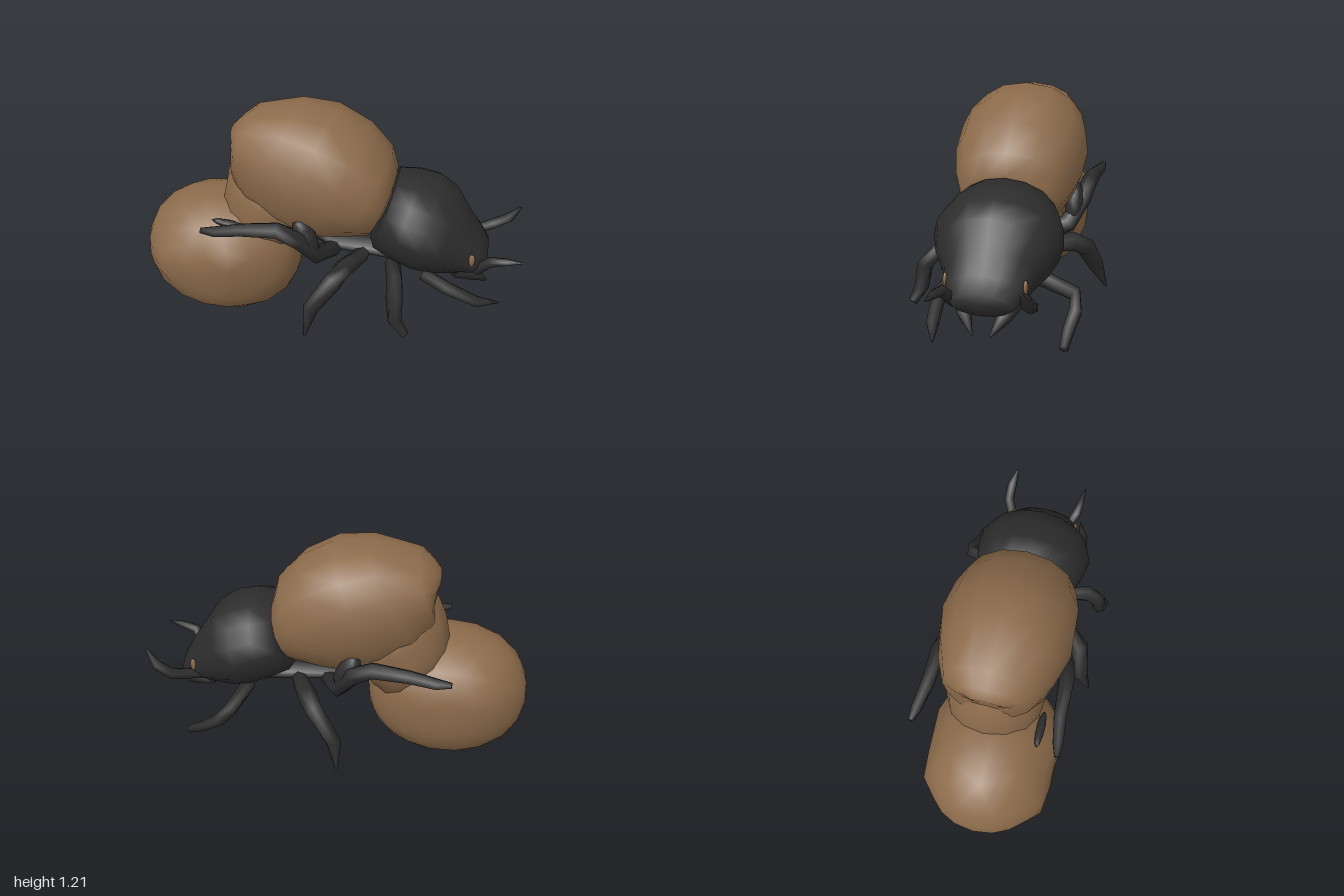
import * as THREE from 'three';
import { mergeVertices } from 'three/addons/utils/BufferGeometryUtils.js';

const V = (x, y, z) => new THREE.Vector3(x, y, z);

// Skin a list of rings { c, u, v } (centre and two half-axes) into a closed smooth tube;
// egg widens each ring towards +u and narrows it towards -u
function skin(rings, sides, egg = 0) {
  const pos = [], idx = [], n = rings.length;
  for (const { c, u, v } of rings) {
    for (let j = 0; j < sides; j++) {
      const a = (j / sides) * Math.PI * 2, cos = Math.cos(a);
      pos.push(...c.clone().addScaledVector(u, cos).addScaledVector(v, Math.sin(a) * (1 + egg * cos)).toArray());
    }
  }
  pos.push(...rings[0].c.toArray(), ...rings[n - 1].c.toArray());
  for (let j = 0; j < sides; j++) {
    const k = (j + 1) % sides, end = (n - 1) * sides;
    for (let i = 0; i < n - 1; i++) {
      const a = i * sides + j, b = i * sides + k;
      idx.push(a, b, b + sides, a, b + sides, a + sides);
    }
    idx.push(n * sides, k, j, n * sides + 1, end + j, end + k);
  }
  const g = new THREE.BufferGeometry();
  g.setAttribute('position', new THREE.Float32BufferAttribute(pos, 3));
  g.setIndex(idx);
  g.computeVertexNormals();
  return g;
}

// Body from slanted sections: [topX, topY, bottomX, bottomY, halfWidth]
const body = (sections, sides = 14, egg = 0) => skin(sections.map(([tx, ty, bx, by, w]) => ({
  c: V((tx + bx) / 2, (ty + by) / 2, 0),
  u: V((tx - bx) / 2, (ty - by) / 2, 0),
  v: V(0, 0, w),
})), sides, egg);

// Jointed limb through points [x, y, z, radius]
function limb(points, sides = 6) {
  const p = points.map(([x, y, z]) => V(x, y, z));
  return skin(points.map(([, , , r], i) => {
    const t = p[Math.min(i + 1, p.length - 1)].clone().sub(p[Math.max(i - 1, 0)]).normalize();
    const u = V(0, 0, 1).cross(t);
    if (u.length() < 0.2) u.set(0, 1, 0).cross(t);
    u.normalize();
    const v = t.clone().cross(u);
    return { c: p[i], u: u.multiplyScalar(r), v: v.multiplyScalar(r) };
  }), sides);
}

// Slightly squarish ball with raised lumps: [direction x, y, z, height]
function lumpyBall() {
  let g = new THREE.IcosahedronGeometry(1, 3);
  g.deleteAttribute('uv');
  g.deleteAttribute('normal');
  g = mergeVertices(g, 1e-3);
  const lumps = [[0.3, 0.35, 0.9, 0.19], [-0.5, 0.15, 0.85, 0.17], [-0.45, 0.4, -0.8, 0.12], [0.35, 0.45, -0.8, 0.12]]
    .map(([x, y, z, h]) => ({ dir: V(x, y, z).normalize(), h }));
  const p = g.attributes.position, d = V(0, 0, 0);
  for (let i = 0; i < p.count; i++) {
    d.fromBufferAttribute(p, i).normalize();
    let r = 1 + 0.07 * (1 - d.x ** 4 - d.y ** 4 - d.z ** 4);
    for (const { dir, h } of lumps) r += h * Math.max(0, 1 - d.distanceTo(dir) / 0.33);
    d.multiplyScalar(r);
    p.setXYZ(i, d.x * 0.425, d.y * 0.35, d.z * 0.335);
  }
  g.computeVertexNormals();
  return g;
}

export function createModel() {
  const group = new THREE.Group();
  const brown = new THREE.MeshStandardMaterial({ color: 0x8b6a4a });
  brown.name = 'earthBrown';
  const black = new THREE.MeshStandardMaterial({ color: 0x2c2c2c });
  black.name = 'shellBlack';
  const add = (name, geometry, material) => {
    const m = new THREE.Mesh(geometry, material);
    m.name = name;
    group.add(m);
    return m;
  };

  // Ball being rolled
  add('ball', lumpyBall(), brown).position.set(-0.575, 0.35, 0.045);

  // Wing case, broad on top and narrowing to the rear
  add('wingCase', body([
    [-0.5, 1.06, -0.49, 0.98, 0.07],
    [-0.46, 1.1, -0.48, 0.9, 0.15],
    [-0.38, 1.16, -0.5, 0.8, 0.22],
    [-0.15, 1.21, -0.46, 0.64, 0.285],
    [0.03, 1.19, -0.3, 0.53, 0.33],
    [0.2, 1.1, -0.13, 0.48, 0.32],
    [0.31, 0.98, 0.03, 0.5, 0.285],
    [0.34, 0.87, 0.2, 0.53, 0.24],
    [0.33, 0.8, 0.25, 0.6, 0.15],
  ], 16, 0.15), brown);

  // Tail end of the abdomen pressed on the ball
  add('abdomenTip', body([
    [0.05, 0.8, -0.46, 0.98, 0.17],
    [0.05, 0.66, -0.5, 0.91, 0.235],
    [0.0, 0.55, -0.54, 0.82, 0.26],
    [-0.12, 0.48, -0.565, 0.7, 0.25],
    [-0.2, 0.38, -0.57, 0.58, 0.23],
  ]), brown);

  // Thorax running into the head
  add('thoraxAndHead', body([
    [0.34, 0.83, 0.22, 0.51, 0.19],
    [0.35, 0.87, 0.24, 0.47, 0.25],
    [0.45, 0.87, 0.33, 0.43, 0.29],
    [0.56, 0.845, 0.44, 0.39, 0.31],
    [0.65, 0.79, 0.54, 0.365, 0.275],
    [0.72, 0.68, 0.63, 0.36, 0.215],
    [0.79, 0.58, 0.73, 0.38, 0.185],
    [0.83, 0.51, 0.82, 0.4, 0.14],
  ], 16), black);

  // Underside plate carrying the legs
  add('underplate', body([
    [-0.07, 0.53, -0.06, 0.46, 0.09],
    [0.05, 0.53, 0.05, 0.43, 0.14],
    [0.3, 0.54, 0.28, 0.42, 0.16],
    [0.55, 0.5, 0.55, 0.38, 0.14],
  ], 10), black);

  // Hind and middle legs, mirrored
  for (const s of [1, -1]) {
    const side = s > 0 ? 'Right' : 'Left';
    add('hindLeg' + side, limb([
      [0.05, 0.46, 0.12 * s, 0.04], [-0.02, 0.5, 0.25 * s, 0.05], [-0.1, 0.62, 0.315 * s, 0.048],
      [-0.2, 0.675, 0.335 * s, 0.044], [-0.38, 0.66, 0.345 * s, 0.036],
      [-0.51, 0.645, 0.365 * s, 0.03], [-0.58, 0.65, 0.375 * s, 0.015],
    ]), black);
    // Hip pad where the hind leg folds against the abdomen
    const hip = add('hindHip' + side, new THREE.SphereGeometry(1, 10, 6), black);
    hip.scale.set(0.06, 0.11, 0.05);
    hip.rotation.z = 0.4;
    hip.position.set(-0.07, 0.61, 0.275 * s);
    add('middleLeg' + side, limb([
      [0.2, 0.46, 0.14 * s, 0.04], [0.13, 0.47, 0.3 * s, 0.05], [0.09, 0.43, 0.36 * s, 0.05],
      [-0.02, 0.27, 0.41 * s, 0.04], [-0.04, 0.14, 0.465 * s, 0.006],
    ]), black);
    // Eye, a flat patch on the side of the head
    const eye = add('eye' + side, new THREE.SphereGeometry(0.036, 8, 6), brown);
    eye.scale.set(0.45, 1, 0.3);
    eye.position.set(0.75, 0.525, 0.182 * s);
  }

  // Dark foot pad resting on the ball
  const pad = add('footPad', new THREE.SphereGeometry(1, 10, 6), black);
  pad.scale.set(0.1, 0.02, 0.022);
  pad.rotation.z = -0.15;
  pad.position.set(-0.46, 0.63, 0.265);

  // Forelegs and front feet
  add('forelegRight', limb([
    [0.36, 0.45, 0.18, 0.04], [0.39, 0.47, 0.34, 0.042], [0.4, 0.4, 0.4, 0.042],
    [0.41, 0.28, 0.42, 0.036], [0.47, 0.22, 0.45, 0.022],
  ]), black);
  add('forelegLeft', limb([
    [0.46, 0.43, -0.18, 0.04], [0.52, 0.39, -0.37, 0.036], [0.58, 0.33, -0.38, 0.034],
    [0.66, 0.27, -0.36, 0.03], [0.75, 0.235, -0.355, 0.022],
  ]), black);
  add('frontFootRight', limb([
    [0.52, 0.42, 0.2, 0.035], [0.64, 0.39, 0.25, 0.036], [0.8, 0.315, 0.235, 0.03], [0.91, 0.3, 0.2, 0.004],
  ]), black);

  // Mouthparts
  for (const s of [1, -1]) {
    add('jaw' + (s > 0 ? 'Right' : 'Left'), limb([
      [0.68, 0.42, 0.12 * s, 0.05], [0.78, 0.38, 0.09 * s, 0.035], [0.84, 0.31, 0.04 * s, 0.004],
    ]), black);
  }

  // Antennae
  add('antennaLeft', limb([
    [0.72, 0.46, -0.16, 0.03], [0.85, 0.49, -0.23, 0.03], [0.93, 0.54, -0.23, 0.028], [0.98, 0.62, -0.21, 0.006],
  ]), black);
  add('antennaRight', limb([
    [0.78, 0.44, 0.14, 0.03], [0.84, 0.52, 0.17, 0.028], [0.92, 0.54, 0.18, 0.02], [0.99, 0.55, 0.19, 0.004],
  ]), black);

  return group;
}
